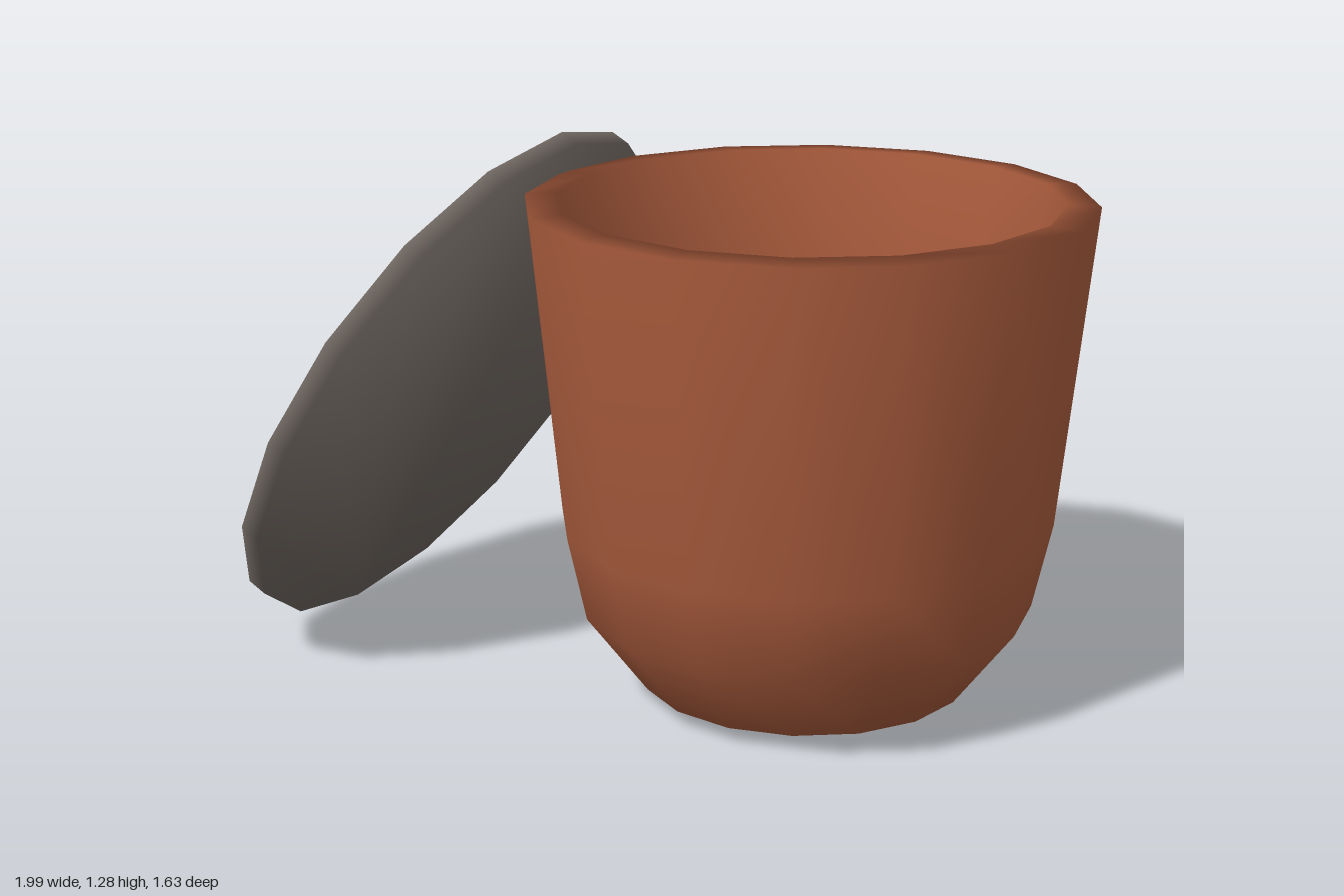
import * as THREE from 'three';
import { mergeVertices } from 'three/addons/utils/BufferGeometryUtils.js';

const SIDES = 16;
const PHI = 0.085; // small twist of the pot about its axis

const clay = new THREE.MeshStandardMaterial({ color: 0xa5593b });
clay.name = 'terracotta';
const slate = new THREE.MeshStandardMaterial({ color: 0x6e6660 });
slate.name = 'dark slate';
const white = new THREE.MeshStandardMaterial({ color: 0xd9d9d9 });
white.name = 'white';

function lathe(points) {
  const profile = points.map(([r, y]) => new THREE.Vector2(r, y));
  return new THREE.LatheGeometry(profile, SIDES, PHI);
}

function named(name, geometry, material) {
  const mesh = new THREE.Mesh(geometry, material);
  mesh.name = name;
  return mesh;
}

// Hollow pot: base, rounded foot, flared wall, rim, inner wall and floor
function makePot() {
  return named('pot', lathe([
    [0, 0.04], [0.385, 0.04], [0.53, 0.23], [0.575, 0.43], [0.654, 1.185],
    [0.58, 1.19], [0.53, 0.8], [0.5, 0.45], [0.46, 0.28], [0.34, 0.12], [0, 0.12],
  ]), clay);
}

// Uneven surface of the filling, a little higher at the back left
function makeFilling() {
  let geometry = lathe([
    [0.545, 0.78], [0.515, 0.83], [0.43, 0.84], [0.33, 0.84],
    [0.22, 0.84], [0.11, 0.84], [0, 0.84],
  ]);
  const p = geometry.attributes.position;
  for (let i = 0; i < p.count; i++) {
    const x = p.getX(i), z = p.getZ(i);
    const fade = 1 - Math.hypot(x, z) / 0.6;
    const bump = 0.03 * Math.sin(6 * x + 2 * z + 0.6) + 0.02 * Math.cos(7 * z - 3 * x);
    p.setY(i, p.getY(i) + bump * fade - 0.025 * (x + z));
  }
  geometry.deleteAttribute('normal');
  geometry.deleteAttribute('uv');
  geometry = mergeVertices(geometry, 1e-4);
  geometry.computeVertexNormals();
  return named('filling', geometry, white);
}

// Flat disc whose normals are shared between the faces and the edge
function makeLid() {
  const R = 0.716, H = 0.025, s = Math.SQRT1_2;
  const positions = [], normals = [], index = [];
  for (const side of [1, -1]) {
    for (let i = 0; i < SIDES; i++) {
      const a = (i / SIDES) * Math.PI * 2;
      positions.push(R * Math.cos(a), side * H, R * Math.sin(a));
      normals.push(s * Math.cos(a), side * s, s * Math.sin(a));
    }
  }
  for (let i = 0; i < SIDES; i++) {
    const j = (i + 1) % SIDES;
    index.push(i, j, SIDES + i, j, SIDES + j, SIDES + i);
  }
  // each face is a fan from one corner
  for (let k = 1; k < SIDES - 1; k++) {
    index.push(4, (4 + k + 1) % SIDES, (4 + k) % SIDES);
    index.push(SIDES + 8, SIDES + (8 + k) % SIDES, SIDES + (8 + k + 1) % SIDES);
  }
  const geometry = new THREE.BufferGeometry();
  geometry.setAttribute('position', new THREE.Float32BufferAttribute(positions, 3));
  geometry.setAttribute('normal', new THREE.Float32BufferAttribute(normals, 3));
  geometry.setIndex(index);

  // leaning against the pot
  const lid = named('lid', geometry, slate);
  const n = new THREE.Vector3(-0.83, 0.48, -0.285).normalize();
  const up = new THREE.Vector3(0, 1, 0).addScaledVector(n, -n.y).normalize();
  const across = new THREE.Vector3().crossVectors(up, n);
  lid.quaternion.setFromRotationMatrix(new THREE.Matrix4().makeBasis(up, n, across));
  lid.position.set(-0.58, 0.642, -0.13);
  return lid;
}

export function createModel() {
  const model = new THREE.Group();
  model.name = 'potWithLid';
  const pot = new THREE.Group();
  pot.name = 'filledPot';
  pot.add(makePot(), makeFilling());
  pot.position.set(0.347, 0, 0.168);
  model.add(pot, makeLid());
  return model;
}
